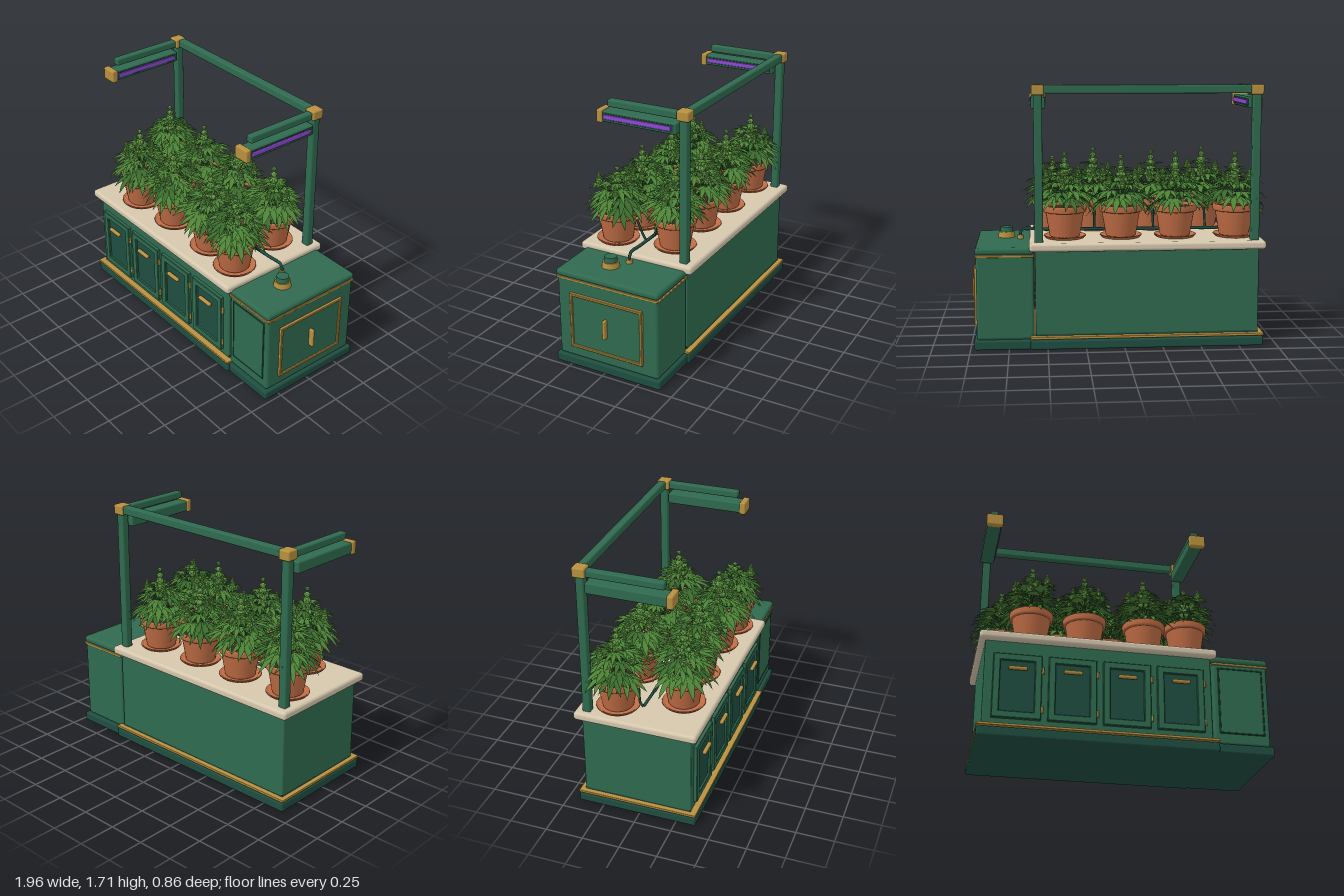
import * as THREE from 'three';
import { mergeGeometries } from 'three/addons/utils/BufferGeometryUtils.js';
import { RoundedBoxGeometry } from 'three/addons/geometries/RoundedBoxGeometry.js';

const mat = (name, color, side = THREE.FrontSide) => {
  const m = new THREE.MeshStandardMaterial({ color, side });
  m.name = name;
  return m;
};

export function createModel() {
  const green = mat('cabinet green', 0x2f6a4f), dark = mat('deep green', 0x1f4d40);
  const brass = mat('brass', 0xb8903f), cream = mat('stone cream', 0xd6c8ae);
  const clay = mat('terracotta', 0xc06d45), soil = mat('soil', 0x3a2a1e);
  const violet = mat('violet light', 0x8e48d0);
  const leafMat = mat('leaf green', 0x4c8236, THREE.DoubleSide);
  const leafDark = mat('dark leaf green', 0x3a6a2c, THREE.DoubleSide);
  const budMat = mat('bud green', 0x649a45);

  const root = new THREE.Group();
  root.name = 'planterStation';
  let seed = 7;
  const rnd = () => (seed = (seed * 16807) % 2147483647) / 2147483647;

  const add = (name, geo, material, x = 0, y = 0, z = 0, parent = root) => {
    const m = new THREE.Mesh(geo, material);
    m.name = name;
    m.position.set(x, y, z);
    parent.add(m);
    return m;
  };
  // rounded box given by its extents
  const box = (name, material, [x0, x1], [y0, y1], [z0, z1], r = 0.008) => add(name,
    new RoundedBoxGeometry(x1 - x0, y1 - y0, z1 - z0, 2, r), material,
    (x0 + x1) / 2, (y0 + y1) / 2, (z0 + z1) / 2);
  // rectangular frame facing +z, its back at z = 0
  const frame = (w, h, border, depth) => {
    const s = new THREE.Shape(), hole = new THREE.Path();
    const rect = (p, a, b) => p.moveTo(-a, -b).lineTo(a, -b).lineTo(a, b).lineTo(-a, b).closePath();
    rect(s, w / 2 - 0.004, h / 2 - 0.004);
    rect(hole, w / 2 - border, h / 2 - border);
    s.holes.push(hole);
    return new THREE.ExtrudeGeometry(s, {
      depth: depth - 0.004, bevelThickness: 0.004, bevelSize: 0.004, bevelSegments: 1 });
  };
  const tube = (pts, r, n = 12) => new THREE.TubeGeometry(
    new THREE.CatmullRomCurve3(pts.map(p => new THREE.Vector3(...p))), n, r, 6);

  // main cabinet
  box('plinth', dark, [-0.91, 0.612], [0, 0.062], [-0.42, 0.38], 0.012);
  box('plinthTrim', brass, [-0.912, 0.612], [0.068, 0.085], [-0.42, 0.382], 0.004);
  box('plinthCore', dark, [-0.88, 0.58], [0.05, 0.1], [-0.385, 0.34], 0.004);
  box('cabinetBody', green, [-0.88, 0.578], [0.085, 0.645], [-0.385, 0.342]);
  box('countertop', cream, [-0.92, 0.615], [0.642, 0.698], [-0.43, 0.387], 0.02);

  // doors
  for (let i = 0; i < 4; i++) {
    const x = -0.672 + i * 0.3475, door = new THREE.Group();
    door.name = 'door' + (i + 1);
    door.position.set(x, 0.34, 0.342);
    root.add(door);
    add('doorFrame', frame(0.305, 0.425, 0.04, 0.024), green, 0, 0, 0, door);
    add('doorPanel', new THREE.BoxGeometry(0.235, 0.355, 0.008), dark, 0, 0, 0.005, door);
    add('doorHandle', new RoundedBoxGeometry(0.118, 0.022, 0.026, 2, 0.008), brass, 0, 0.112, 0.036, door);
    for (const y of [0.115, -0.145])
      add('hinge', new THREE.CylinderGeometry(0.008, 0.008, 0.042, 8), brass, 0.159, y, 0.014, door);
  }

  // side tank
  box('tankPlinth', dark, [0.585, 0.975], [0, 0.062], [-0.405, 0.362], 0.012);
  box('tankBody', green, [0.586, 0.958], [0.06, 0.63], [-0.385, 0.342], 0.02);
  box('tankTrim', brass, [0.584, 0.963], [0.605, 0.62], [-0.39, 0.347], 0.004);
  box('tankLid', green, [0.582, 0.965], [0.62, 0.666], [-0.39, 0.35], 0.02);
  add('tankFrontFrame', frame(0.3, 0.45, 0.008, 0.008), dark, 0.773, 0.36, 0.34);
  add('tankFrontPanel', new THREE.BoxGeometry(0.28, 0.43, 0.008), green, 0.773, 0.36, 0.342);
  add('hatchFrame', frame(0.525, 0.385, 0.014, 0.02), brass, 0.957, 0.33, -0.018).rotation.y = Math.PI / 2;
  box('hatchPanel', green, [0.95, 0.965], [0.15, 0.51], [-0.268, 0.232], 0.003);
  box('hatchHandle', brass, [0.962, 1.0], [0.265, 0.398], [-0.026, -0.006], 0.007);
  add('fillerRing', new THREE.CylinderGeometry(0.052, 0.058, 0.04, 24), brass, 0.768, 0.684, 0.06);
  add('fillerCap', new THREE.CylinderGeometry(0.04, 0.044, 0.034, 24), green, 0.768, 0.719, 0.06);

  // overhead light gantry
  for (const x of [-0.852, 0.552]) {
    box('post', green, [x - 0.028, x + 0.028], [0.69, 1.66], [-0.38, -0.326], 0.01);
    box('cornerBlock', brass, [x - 0.04, x + 0.04], [1.64, 1.705], [-0.395, -0.312], 0.01);
    box('arm', green, [x - 0.026, x + 0.026], [1.645, 1.693], [-0.32, 0.178], 0.01);
    box('lampBody', green, [x - 0.048, x + 0.044], [1.55, 1.622], [-0.312, 0.21], 0.01);
    box('lampRecess', dark, [x + 0.038, x + 0.047], [1.563, 1.61], [-0.298, 0.2], 0.002);
    box('lampTube', violet, [x + 0.04, x + 0.054], [1.572, 1.602], [-0.282, 0.19], 0.005);
    box('lampCap', brass, [x - 0.056, x + 0.056], [1.545, 1.63], [0.2, 0.242], 0.01);
  }
  box('topBeam', green, [-0.815, 0.515], [1.648, 1.703], [-0.386, -0.332], 0.01);

  // one leaflet along +z, folded on its midrib and drooping
  const leaflet = (len, angle) => {
    const g = new THREE.PlaneGeometry(1, 1, 2, 5), p = g.attributes.position;
    for (let i = 0; i < p.count; i++) {
      const t = 0.5 - p.getY(i), s = p.getX(i) * 2;
      const w = len * 0.13 * Math.pow(Math.sin(Math.PI * Math.pow(t, 0.8)), 0.9) || 0;
      p.setXYZ(i, s * w, Math.abs(s) * w * 0.35 - len * 0.3 * t * t, t * len);
    }
    return g.rotateY(angle);
  };
  const fanLeaf = size => {
    const parts = [];
    for (let k = -3; k <= 3; k++)
      parts.push(leaflet(size * [1, 0.92, 0.74, 0.48][Math.abs(k)], k * 0.5));
    const g = mergeGeometries(parts);
    g.computeVertexNormals();
    return g;
  };
  // lumpy tapering flower spike
  const budSpike = (x, y, z, h, r) => {
    const parts = [], n = 5;
    for (let i = 0; i < n; i++) {
      const t = i / (n - 1), rr = r * (1 - 0.6 * t);
      parts.push(new THREE.SphereGeometry(rr, 8, 6).translate(x, y + h * t, z));
      for (let k = 0; k < 4; k++) {
        const a = k * Math.PI / 2 + i * 0.8;
        parts.push(new THREE.SphereGeometry(rr * 0.5, 6, 4)
          .translate(x + Math.cos(a) * rr * 0.8, y + h * t + rr * 0.25, z + Math.sin(a) * rr * 0.8));
      }
    }
    return mergeGeometries(parts);
  };

  // tiers: height, petiole length, leaf size, leaf count, tilt
  const tiers = [
    [0.94, 0.085, 0.165, 6, 0.32], [0.99, 0.085, 0.165, 6, 0.08],
    [1.045, 0.07, 0.14, 6, -0.05], [1.09, 0.05, 0.11, 5, -0.15], [1.135, 0.02, 0.075, 5, -0.3]];
  const buildPlant = (parent, height) => {
    const leaves = [[], []], stems = [], buds = [];
    const top = 1.04 + (height - 0.2 - 1.04);
    stems.push(tube([[0, 0.88, 0], [0.004, 1, 0.003], [0, top + 0.04, 0]], 0.008));
    tiers.forEach(([y, reach, size, n, tilt], row) => {
      const start = rnd() * 6;
      for (let i = 0; i < n; i++) {
        const a = start + i / n * Math.PI * 2 + (rnd() - 0.5) * 0.4;
        const yy = y + (rnd() - 0.5) * 0.03, r = reach * (0.85 + rnd() * 0.3);
        const lift = row < 3 ? 0.02 : 0.01;
        leaves[(i + row) % 3 === 0 ? 1 : 0].push(fanLeaf(size * (0.85 + rnd() * 0.25))
          .rotateX(tilt + (rnd() - 0.5) * 0.25).translate(0, yy + lift, r).rotateY(a));
        stems.push(tube([[0, yy - 0.02, 0], [0, yy + lift, r * 0.6], [0, yy + lift, r]], 0.0035, 4).rotateY(a));
      }
    });
    buds.push(budSpike(0, height - 0.185, 0, 0.165, 0.036));
    for (let i = 0; i < 6; i++) {
      const a = i / 6 * Math.PI * 2 + rnd(), r = 0.075 + rnd() * 0.055, y = 1.04 + rnd() * 0.07;
      const x = Math.cos(a) * r, z = Math.sin(a) * r;
      stems.push(tube([[0, 0.96, 0], [x * 0.7, y - 0.06, z * 0.7], [x, y, z]], 0.005, 5));
      buds.push(budSpike(x, y, z, 0.06, 0.02));
      leaves[i % 2].push(fanLeaf(0.075).rotateY(a).translate(x, y - 0.01, z));
    }
    add('leaves', mergeGeometries(leaves[0]), leafMat, 0, 0, 0, parent);
    add('shadeLeaves', mergeGeometries(leaves[1]), leafDark, 0, 0, 0, parent);
    add('stems', mergeGeometries(stems), leafDark, 0, 0, 0, parent);
    add('buds', mergeGeometries(buds), budMat, 0, 0, 0, parent);
  };

  // pots: outer wall, collar, inner lip
  const lathe = pts => new THREE.LatheGeometry(pts.map(p => new THREE.Vector2(...p)), 28);
  const potGeo = lathe([[0, 0.708], [0.094, 0.708], [0.1, 0.716], [0.126, 0.868], [0.126, 0.87], [0.138, 0.872],
    [0.142, 0.878], [0.144, 0.908], [0.14, 0.915], [0.128, 0.915], [0.124, 0.908], [0.12, 0.88]]);
  const saucerGeo = lathe([[0, 0.698], [0.125, 0.698], [0.14, 0.714], [0.138, 0.718], [0.13, 0.717], [0.12, 0.708], [0, 0.708]]);
  const spots = [[-0.58, 0.19, 1.27], [-0.225, 0.17, 1.25], [0.175, 0.17, 1.27], [0.452, 0.195, 1.21],
    [-0.745, -0.19, 1.265], [-0.35, -0.19, 1.27], [0.01, -0.185, 1.25], [0.38, -0.19, 1.27]];
  spots.forEach(([x, z, h], i) => {
    const pot = new THREE.Group();
    pot.name = 'pottedPlant' + (i + 1);
    pot.position.set(x, 0, z);
    root.add(pot);
    add('pot', potGeo, clay, 0, 0, 0, pot);
    add('saucer', saucerGeo, clay, 0, 0, 0, pot);
    add('soil', new THREE.CylinderGeometry(0.124, 0.124, 0.01, 24), soil, 0, 0.89, 0, pot);
    buildPlant(pot, h);
    // feed line from the manifold up to the rim
    const s = Math.sign(z), end = z - s * 0.1;
    add('feedLine', tube([[x, 0.725, -0.02], [x, 0.75, -0.02 + s * 0.02], [x, 0.87, end - s * 0.04],
      [x, 0.925, end - s * 0.02], [x, 0.905, end + s * 0.01]], 0.008, 16), dark);
    add('feedClip', new THREE.SphereGeometry(0.013, 8, 6), brass, x, 0.87, end - s * 0.04);
  });

  // watering manifold
  add('manifold', tube([[-0.75, 0.725, -0.02], [0, 0.725, -0.02], [0.56, 0.73, -0.02], [0.65, 0.735, -0.02],
    [0.672, 0.72, -0.02], [0.674, 0.67, -0.02]], 0.011, 40), dark);
  add('manifoldFitting', new THREE.CylinderGeometry(0.019, 0.022, 0.026, 14), brass, 0.674, 0.678, -0.02);
  return root;
}
